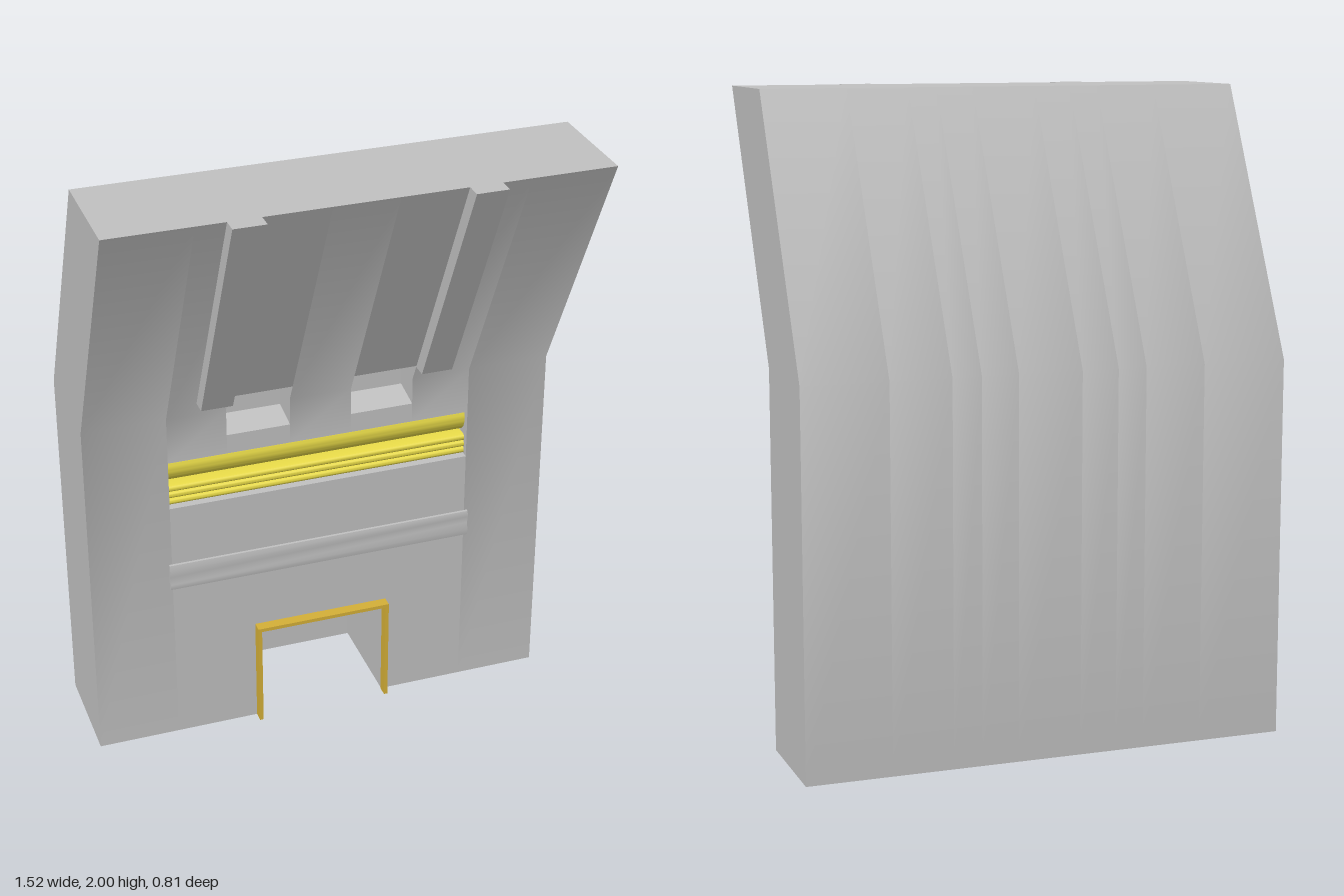
import * as THREE from 'three';
import { toCreasedNormals } from 'three/addons/utils/BufferGeometryUtils.js';

const stone = new THREE.MeshStandardMaterial({ name: 'stoneGrey', color: 0xc0c0c0 });
const gold = new THREE.MeshStandardMaterial({ name: 'gold', color: 0xd4af37 });
const yellow = new THREE.MeshStandardMaterial({ name: 'yellow', color: 0xeee04a });

const FRONT = -0.05, BACK = -0.405, BEND = 1.18, TOP = 2, LEAN = 0.405;
const slantZ = (y) => FRONT + ((y - BEND) / (TOP - BEND)) * LEAN;

// Sweeps a [z, y] outline along x from x0 to x1
function sweep(name, points, x0, x1, material) {
  const shape = new THREE.Shape(points.map(([z, y]) => new THREE.Vector2(-z, y)));
  let geometry = new THREE.ExtrudeGeometry(shape, { depth: x1 - x0, bevelEnabled: false });
  geometry.rotateY(Math.PI / 2).translate(x0, 0, 0);
  geometry = toCreasedNormals(geometry, 0.5);
  const mesh = new THREE.Mesh(geometry, material);
  mesh.name = name;
  return mesh;
}

// Outline of the leaning wall, with the recesses that cross this strip
function wallOutline({ door, slot, socket }) {
  const p = [[BACK, 0]];
  if (door) p.push([-0.39, 0], [-0.39, 0.355], [FRONT, 0.355]);
  else p.push([FRONT, 0]);
  if (slot) p.push([FRONT, 0.86], [-0.15, 0.86], [-0.15, 1.025], [FRONT, 1.025]);
  if (socket) p.push([FRONT, 1.09], [-0.15, 1.11], [-0.15, 1.23], [slantZ(1.24), 1.24]);
  else p.push([FRONT, BEND]);
  p.push([FRONT + LEAN, TOP], [0.005, TOP], [BACK, BEND]);
  return p;
}

// Points on an arc in the [z, y] plane, from angle a to angle b
function arc(z, y, r, a, b, n) {
  return Array.from({ length: n + 1 }, (_, i) => {
    const t = a + ((b - a) * i) / n;
    return [z + r * Math.cos(t), y + r * Math.sin(t)];
  });
}

export function createModel() {
  const model = new THREE.Group();
  model.name = 'leaningWall';

  // Wall, in vertical strips so the door, slot and sockets are real recesses
  const wall = new THREE.Group();
  wall.name = 'wall';
  const cuts = [-0.76, -0.495, -0.305, -0.215, -0.1, 0.1, 0.215, 0.305, 0.495, 0.76];
  for (let i = 0; i < cuts.length - 1; i++) {
    const mid = Math.abs(cuts[i] + cuts[i + 1]) / 2;
    const outline = wallOutline({
      door: mid < 0.215,
      slot: mid < 0.495,
      socket: mid > 0.1 && mid < 0.305,
    });
    wall.add(sweep('wallStrip', outline, cuts[i], cuts[i + 1], stone));
  }
  model.add(wall);

  // Rails up the overhang
  for (const side of [-1, 1]) {
    const rail = [[slantZ(1.235), 1.235], [slantZ(1.235) + 0.05, 1.235], [0.405, TOP], [0.355, TOP]];
    const x = side * 0.355;
    model.add(sweep(side > 0 ? 'leftRail' : 'rightRail', rail, x - 0.05, x + 0.05, stone));
  }

  // Rounded moulding with three small beads inside the slot
  const moulding = [[-0.15, 1.025], ...arc(-0.13, 0.99, 0.06, 0.62, -Math.PI / 2, 20)];
  for (const y of [0.918, 0.895, 0.872]) {
    moulding.push(...arc(-0.08, y, 0.0115, Math.PI / 2, -Math.PI / 2, 10));
  }
  moulding.push([-0.15, 0.8605]);
  model.add(sweep('slotMoulding', moulding, -0.495, 0.495, yellow));

  // Shallow ledge with a hollow middle
  const ledge = [
    [FRONT, 0.565], [-0.041, 0.565], [-0.037, 0.585], [-0.043, 0.61],
    [-0.037, 0.635], [-0.041, 0.655], [FRONT, 0.655],
  ];
  model.add(sweep('ledge', ledge, -0.505, 0.505, stone));

  // Door frame
  const frame = new THREE.Shape([
    [-0.225, 0], [-0.213, 0], [-0.213, 0.353], [0.213, 0.353],
    [0.213, 0], [0.225, 0], [0.225, 0.365], [-0.225, 0.365],
  ].map(([x, y]) => new THREE.Vector2(x, y)));
  const doorFrame = new THREE.Mesh(
    new THREE.ExtrudeGeometry(frame, { depth: 0.035, bevelEnabled: false }).translate(0, 0, FRONT),
    gold
  );
  doorFrame.name = 'doorFrame';
  model.add(doorFrame);

  return model;
}
